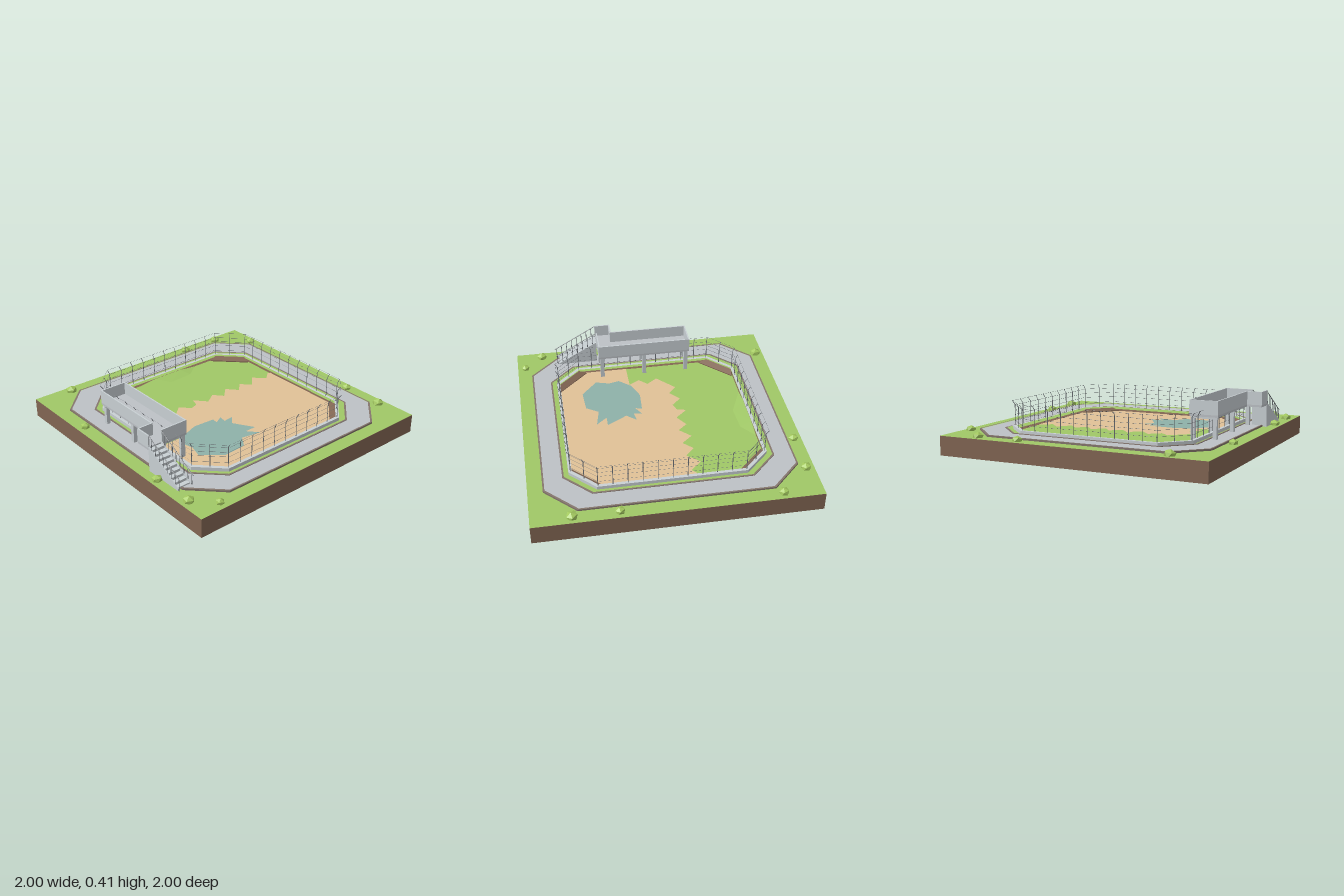
import * as THREE from 'three';
import { ConvexGeometry } from 'three/addons/geometries/ConvexGeometry.js';

const mat = (name, color) => Object.assign(new THREE.MeshStandardMaterial({ color, flatShading: true }), { name });

export function createModel() {
  const model = new THREE.Group();
  model.name = 'fencedEnclosure';
  const M = {
    earth: mat('earth', 0x826653),
    grass: mat('grass', 0xa0c866),
    sand: mat('sand', 0xe0c197),
    water: mat('water', 0x8eb1a9),
    paving: mat('paving', 0xbdc1c6),
    concrete: mat('concrete', 0xc9d0d4),
    kerb: mat('kerb', 0x85766d),
    metal: mat('metal', 0x6c7176),
    bush: mat('bush', 0xa3c95f),
  };

  const group = (name) => {
    const g = new THREE.Group();
    g.name = name;
    model.add(g);
    return g;
  };
  const add = (name, geo, material, parent = model) => {
    const m = new THREE.Mesh(geo, material);
    m.name = name;
    parent.add(m);
    return m;
  };
  // Box given by its minimum and maximum corners
  const box = (name, a, b, material, parent) => {
    const m = add(name, new THREE.BoxGeometry(b[0] - a[0], b[1] - a[1], b[2] - a[2]), material, parent);
    m.position.set((a[0] + b[0]) / 2, (a[1] + b[1]) / 2, (a[2] + b[2]) / 2);
    return m;
  };
  // Straight bar between two points
  const bar = (name, p, q, r, material, parent) => {
    const a = new THREE.Vector3(...p), b = new THREE.Vector3(...q), d = b.clone().sub(a);
    const m = add(name, new THREE.CylinderGeometry(r, r, d.length(), 4), material, parent);
    m.position.copy(a).add(b).multiplyScalar(0.5);
    m.quaternion.setFromUnitVectors(new THREE.Vector3(0, 1, 0), d.normalize());
    return m;
  };
  // Ground outlines in x, z
  const octagon = (h, c) => [[h, -c], [h, c], [c, h], [-c, h], [-h, c], [-h, -c], [-c, -h], [c, -h]];
  const square = [[1, -1], [1, 1], [-1, 1], [-1, -1]];
  const toPoints = (pts) => pts.map(([x, z]) => new THREE.Vector2(x, -z));
  const outline = (pts, hole) => {
    const s = new THREE.Shape(toPoints(pts));
    if (hole) s.holes.push(new THREE.Path(toPoints(hole)));
    return s;
  };
  const sheet = (name, pts, y, material, hole) =>
    add(name, new THREE.ShapeGeometry(outline(pts, hole)).rotateX(-Math.PI / 2), material).position.y = y;
  const slab = (name, pts, hole, y0, y1, material) =>
    add(name, new THREE.ExtrudeGeometry(outline(pts, hole), { depth: y1 - y0, bevelEnabled: false })
      .rotateX(-Math.PI / 2), material).position.y = y0;

  // Earth block with a shallow sunken yard
  const FLOOR = 0.122;
  const pit = octagon(0.69, 0.52);
  box('earthBlock', [-1, 0, -1], [1, 0.1, 1], M.earth);
  slab('earthRim', square, pit, 0.1, 0.139, M.earth);
  sheet('grassGround', square, 0.14, M.grass, pit);
  sheet('yardGrass', pit, FLOOR, M.grass);
  sheet('sand', [
    [-0.69, 0.14], [-0.47, 0.14], [-0.52, 0.06], [-0.46, 0], [-0.52, -0.08], [-0.38, -0.21], [-0.31, -0.15],
    [-0.23, -0.22], [-0.16, -0.15], [-0.1, -0.17], [-0.08, -0.24], [0, -0.15], [0.09, -0.21], [0.15, -0.14],
    [0.23, -0.22], [0.3, -0.14], [0.37, -0.21], [0.44, -0.14], [0.52, -0.23], [0.6, -0.15], [0.67, -0.21],
    [0.69, -0.2], [0.69, 0.52], [0.52, 0.69], [-0.52, 0.69], [-0.69, 0.52],
  ], FLOOR + 0.003, M.sand);
  sheet('pond', [
    [-0.53, 0.22], [-0.45, 0.13], [-0.32, 0.08], [-0.15, 0.09], [-0.16, 0.14], [-0.09, 0.1], [-0.1, 0.16],
    [-0.02, 0.15], [-0.08, 0.22], [0.01, 0.37], [-0.08, 0.37], [-0.01, 0.45], [-0.16, 0.42], [-0.22, 0.51],
    [-0.4, 0.52], [-0.54, 0.4], [-0.51, 0.3],
  ], FLOOR + 0.006, M.water);

  // Earth banks in the four corners and a grassy bank along the back
  const hull = (name, pts, material) =>
    add(name, new ConvexGeometry(pts.map((p) => new THREE.Vector3(...p))), material);
  for (const sx of [-1, 1]) for (const sz of [-1, 1]) {
    hull('cornerBank', [
      [0.45, 0.1, 0.69], [0.69, 0.1, 0.45], [0.52, 0.1, 0.69], [0.69, 0.1, 0.52], [0.58, 0.126, 0.575],
      [0.52, 0.148, 0.69], [0.69, 0.148, 0.52], [0.46, 0.13, 0.68], [0.68, 0.13, 0.46],
    ].map(([x, y, z]) => [x * sx, y, z * sz]), M.earth);
  }
  hull('grassBank', [
    [-0.45, 0.1, -0.69], [0.5, 0.1, -0.69], [-0.02, FLOOR, -0.59], [0.18, FLOOR, -0.6],
    [-0.1, 0.138, -0.69], [0.15, 0.138, -0.69],
  ], M.grass);

  // Ring path with raised edging
  slab('path', octagon(0.885, 0.672), octagon(0.75, 0.562), 0.139, 0.149, M.paving);
  slab('outerKerb', octagon(0.894, 0.678), octagon(0.882, 0.67), 0.139, 0.153, M.kerb);
  slab('innerKerb', octagon(0.753, 0.563), octagon(0.741, 0.556), 0.139, 0.153, M.kerb);

  // Low wall carrying the fence
  slab('fenceWall', octagon(0.707, 0.528), octagon(0.683, 0.516), 0.1, 0.165, M.concrete);

  // Fence: posts with arms leaning outward, and wires
  const fence = group('fence');
  const corners = octagon(0.693, 0.52), tips = octagon(0.711, 0.529);
  corners.forEach((a, i) => {
    const j = (i + 1) % 8, b = corners[j], ta = tips[i], tb = tips[j];
    const n = i % 2 ? 2 : 10;
    const mix = (p, q, t) => [p[0] + (q[0] - p[0]) * t, p[1] + (q[1] - p[1]) * t];
    for (let k = 0; k < n; k++) {
      const [x, z] = mix(a, b, k / n), [u, v] = mix(ta, tb, k / n);
      bar('fencePost', [x, 0.16, z], [x, 0.32, z], 0.0028, M.metal, fence);
      bar('fenceArm', [x, 0.317, z], [u, 0.348, v], 0.0024, M.metal, fence);
    }
    for (const y of [0.2, 0.245, 0.28, 0.315])
      bar('fenceWire', [a[0], y, a[1]], [b[0], y, b[1]], 0.001, M.metal, fence);
    bar('topWire', [ta[0], 0.346, ta[1]], [tb[0], 0.346, tb[1]], 0.0008, M.metal, fence);
  });

  // Raised viewing platform with parapets
  const deck = group('viewingPlatform');
  box('deckFloor', [-0.812, 0.3, -0.36], [-0.607, 0.322, 0.36], M.paving, deck);
  box('landingFloor', [-0.923, 0.3, 0.24], [-0.812, 0.322, 0.36], M.paving, deck);
  const parapet = (x0, z0, x1, z1) => box('parapet', [x0, 0.315, z0], [x1, 0.412, z1], M.concrete, deck);
  parapet(-0.616, -0.361, -0.606, 0.361);
  parapet(-0.813, -0.361, -0.616, -0.351);
  parapet(-0.813, 0.351, -0.616, 0.361);
  parapet(-0.813, -0.351, -0.803, 0.249);
  parapet(-0.924, 0.239, -0.813, 0.249);
  parapet(-0.924, 0.249, -0.914, 0.361);
  for (const z of [-0.335, 0, 0.335]) {
    for (const x of [-0.788, -0.627])
      box('platformLeg', [x - 0.014, 0.1, z - 0.015], [x + 0.014, 0.305, z + 0.015], M.concrete, deck);
    box('crossBeam', [-0.805, 0.285, z - 0.013], [-0.611, 0.305, z + 0.013], M.concrete, deck);
  }

  // Stairs with sloping handrails
  const stairs = group('stairs');
  const steps = 9, z0 = 0.36, run = 0.3 / steps, rise = (0.322 - 0.149) / steps;
  for (let i = 0; i < steps; i++) {
    const z = z0 + i * run;
    box('step', [-0.916, 0.14, z], [-0.818, 0.322 - (i + 0.5) * rise, z + run], M.concrete, stairs);
  }
  for (const x of [-0.919, -0.815]) {
    const side = new THREE.Shape(toPoints([[-0.36, -0.14], [-0.36, -0.325], [-0.67, -0.155], [-0.67, -0.14]]));
    add('stairSide', new THREE.ExtrudeGeometry(side, { depth: 0.008, bevelEnabled: false })
      .rotateY(Math.PI / 2), M.concrete, stairs).position.x = x - 0.004;
    bar('handrail', [x, 0.41, 0.36], [x, 0.222, 0.69], 0.0035, M.metal, stairs);
    for (let i = 0; i < 8; i++) {
      const z = 0.39 + i * 0.041, drop = (z - 0.36) * 0.57;
      bar('baluster', [x, Math.max(0.14, 0.315 - drop), z], [x, 0.41 - drop, z], 0.0025, M.metal, stairs);
    }
  }

  // Low faceted bushes around the edge, each with a point upward
  const bushes = group('bushes');
  const tilt = -Math.atan((1 + Math.sqrt(5)) / 2);
  [
    [-0.72, -0.94, 0.044], [0.4, -0.94, 0.038], [0.72, -0.94, 0.041], [0.94, -0.72, 0.038], [-0.94, -0.4, 0.036],
    [-0.95, 0.48, 0.04], [-0.94, 0.8, 0.042], [-0.8, 0.94, 0.033], [0.94, 0.4, 0.038], [0.94, 0.72, 0.044],
  ].forEach(([x, z, r], i) => {
    const m = add('bush', new THREE.IcosahedronGeometry(r, 0).rotateX(tilt), M.bush, bushes);
    m.position.set(x, 0.148, z);
    m.rotation.set(0.15 * Math.sin(i), 1.3 * i, 0.15 * Math.cos(i));
    m.scale.y = 0.78;
  });
  return model;
}
